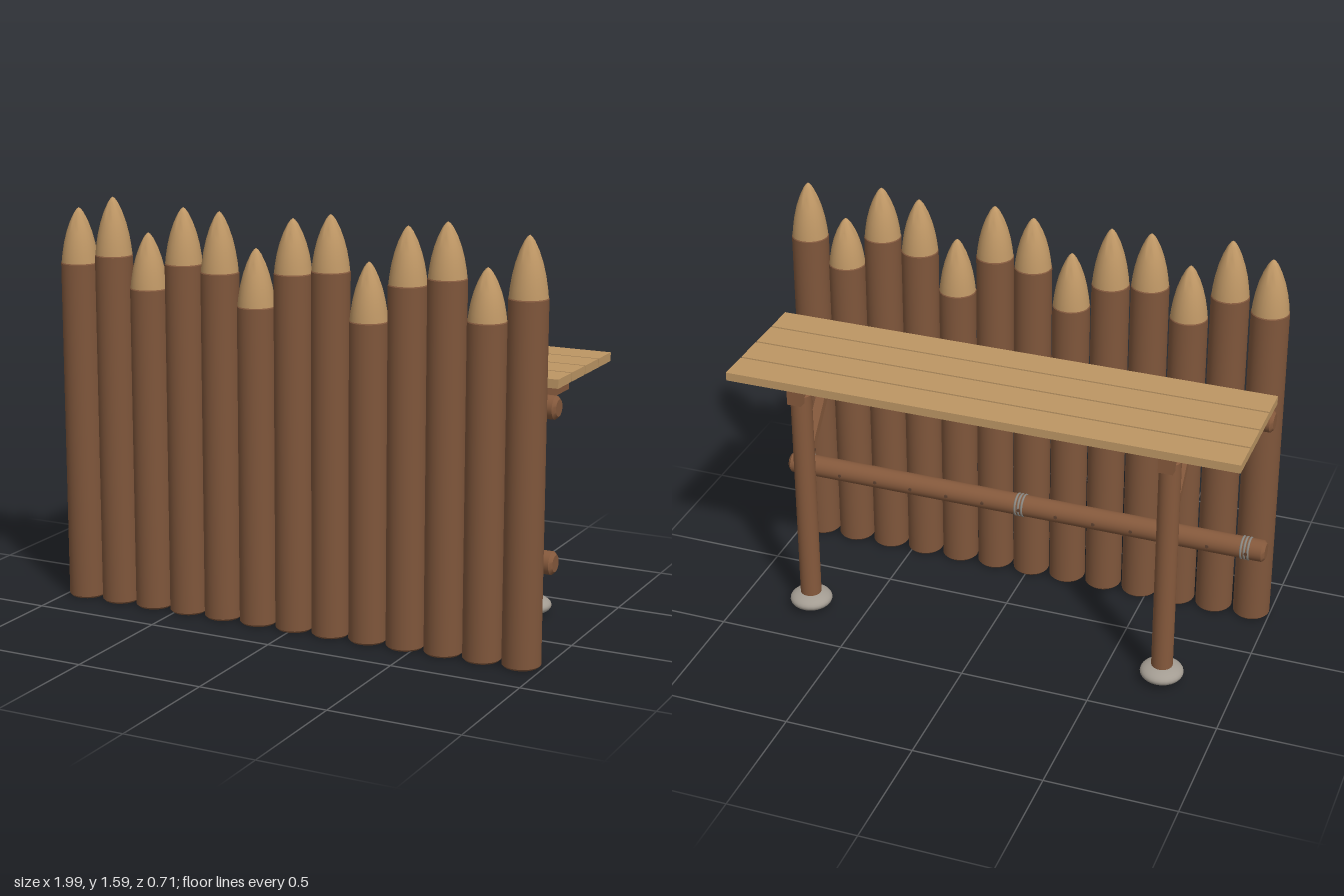
import * as THREE from 'three';
import { toCreasedNormals } from 'three/addons/utils/BufferGeometryUtils.js';

const mat = (name, color) => {
  const m = new THREE.MeshStandardMaterial({ color });
  m.name = name;
  return m;
};

export function createModel() {
  const bark = mat('bark', 0x7f563b);
  const timber = mat('timber', 0x85593c);
  const cutWood = mat('cut wood', 0xc09866);
  const plankWood = mat('plank wood', 0xbd9664);
  const stone = mat('stone', 0xa39c92);
  const rope = mat('rope', 0x8b8780);
  const peg = mat('peg', 0x5f4230);

  const model = new THREE.Group();
  model.name = 'palisade';

  const add = (name, geometry, material, x = 0, y = 0, z = 0, parent = model) => {
    const mesh = new THREE.Mesh(geometry, material);
    mesh.name = name;
    mesh.position.set(x, y, z);
    parent.add(mesh);
    return mesh;
  };
  const lathe = (points, segments = 24) => toCreasedNormals(
    new THREE.LatheGeometry(points.map(([r, y]) => new THREE.Vector2(r, y)), segments), 0.6);
  // Round log with chamfered ends, standing on y = 0
  const log = (r, h, c = 0.01) => lathe([[0, 0], [r - c, 0], [r, c], [r, h - c], [r - c, h], [0, h]]);

  // Sharpened stakes: [shoulder height, tip height]
  const stakes = [
    [1.33, 1.535], [1.37, 1.585], [1.255, 1.46], [1.36, 1.565], [1.34, 1.56],
    [1.225, 1.435], [1.36, 1.555], [1.38, 1.58], [1.21, 1.42], [1.355, 1.56],
    [1.39, 1.585], [1.25, 1.435], [1.345, 1.56],
  ];
  const stakeX = i => -0.925 + i * 0.1535;
  const stakeR = 0.072;
  const tipProfile = [[1, 0], [0.95, 0.15], [0.85, 0.35], [0.7, 0.55], [0.5, 0.74], [0.27, 0.9], [0.12, 0.97], [0, 1]];
  stakes.forEach(([shoulder, top], i) => {
    const stake = new THREE.Group();
    stake.name = 'stake' + (i + 1);
    stake.position.set(stakeX(i), 0, 0.284);
    model.add(stake);
    add('stakeTrunk', log(stakeR, shoulder, 0.008), bark, 0, 0, 0, stake);
    const h = top - shoulder + 0.004;
    add('stakeTip', lathe(tipProfile.map(([r, t]) => [r * (stakeR - 0.002), t * h])),
      cutWood, 0, shoulder - 0.004, 0, stake);
  });

  // Horizontal rails with rope lashings and a peg at each stake
  const ring = new THREE.TorusGeometry(0.042, 0.005, 8, 24).rotateY(Math.PI / 2);
  const pegGeo = new THREE.CylinderGeometry(0.007, 0.007, 0.012, 10).rotateX(Math.PI / 2);
  for (const y of [0.361, 0.933]) {
    const rail = new THREE.Group();
    rail.name = y < 0.5 ? 'lowerRail' : 'upperRail';
    rail.position.set(0, y, 0.17);
    model.add(rail);
    add('railLog', log(0.043, 1.99, 0.012).rotateZ(-Math.PI / 2), timber, -0.995, 0, 0, rail);
    for (const x of [-0.917, 0, 0.917]) {
      for (const d of [-0.014, 0, 0.014]) add('ropeRing', ring, rope, x + d, 0, 0, rail);
    }
    stakes.forEach((_, i) => add('railPeg', pegGeo, peg, stakeX(i), 0, -0.041, rail));
  }

  // Walkway planks
  for (let i = 0; i < 4; i++) {
    add('plank' + (i + 1), new THREE.BoxGeometry(1.99, 0.033, 0.126), plankWood, -0.002, 1.0205, 0.117 - i * 0.1345);
  }

  // Short joists between the supports
  for (const x of [-0.9, -0.3, 0.3, 0.9]) {
    add('shortJoist', new THREE.BoxGeometry(0.053, 0.063, 0.28), timber, x, 0.9725, 0.04);
  }

  // Supports: long joist, post, footing stone, diagonal brace and its peg
  for (const x of [-0.722, 0.722]) {
    const support = new THREE.Group();
    support.name = x < 0 ? 'rightSupport' : 'leftSupport';
    support.position.x = x;
    model.add(support);
    add('longJoist', new THREE.BoxGeometry(0.056, 0.063, 0.52), timber, 0, 0.9725, -0.08, support);
    add('post', log(0.041, 0.93, 0.008), timber, 0, 0.04, -0.275, support);
    add('footingStone', new THREE.SphereGeometry(0.083, 24, 16).scale(1, 0.43, 1), stone, 0, 0.039, -0.275, support);
    const a = new THREE.Vector3(0, 0.95, -0.01), b = new THREE.Vector3(0, 0.665, -0.25);
    const mid = a.clone().add(b).multiplyScalar(0.5);
    const brace = add('brace', new THREE.BoxGeometry(0.036, 0.032, a.distanceTo(b)), timber, 0, mid.y, mid.z, support);
    brace.rotation.x = -Math.atan2(a.y - b.y, a.z - b.z);
    add('bracePeg', new THREE.CylinderGeometry(0.008, 0.008, 0.046, 10).rotateZ(Math.PI / 2), peg, 0, 0.69, -0.225, support);
  }

  return model;
}
